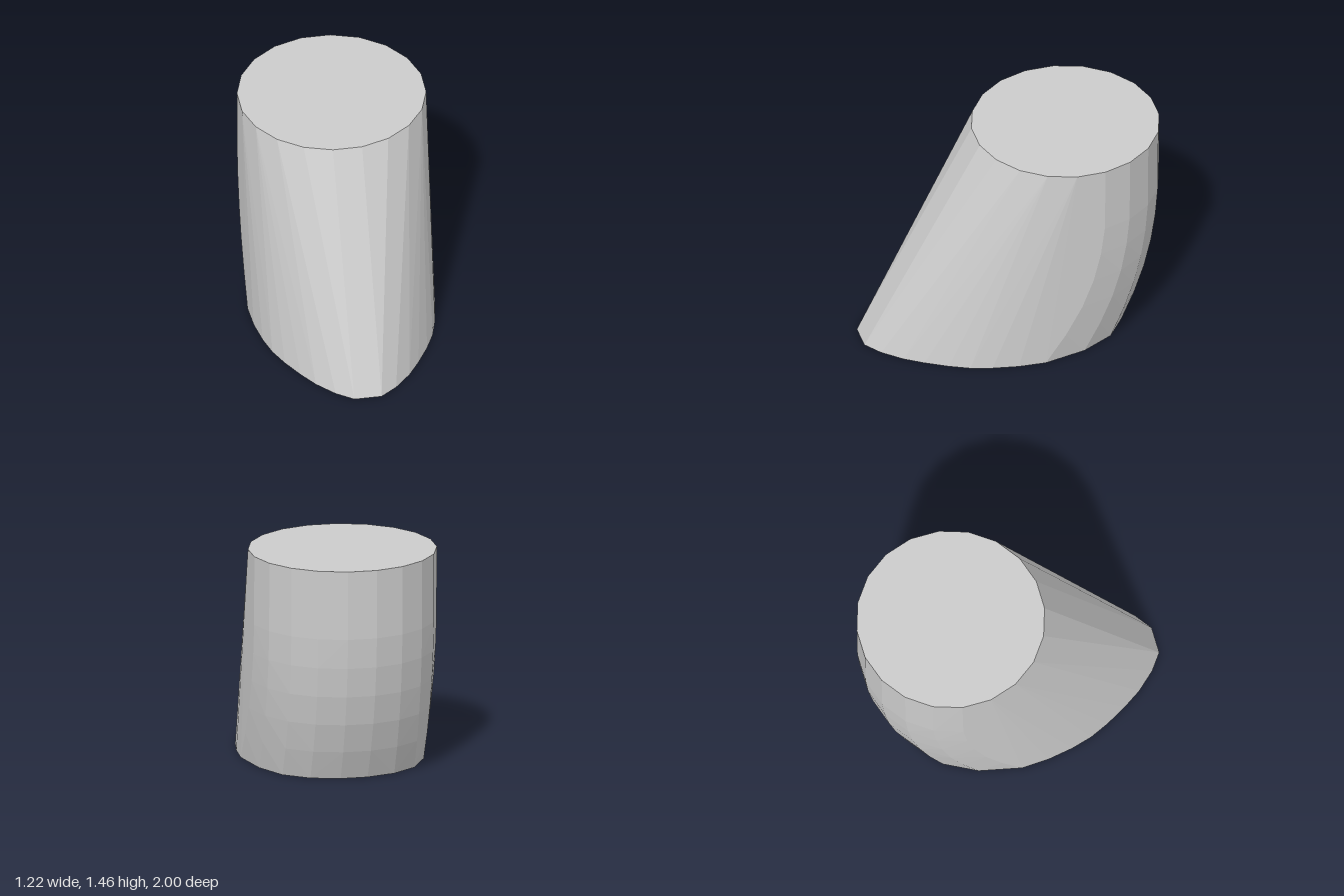
import * as THREE from 'three';
import { ConvexGeometry } from 'three/addons/geometries/ConvexGeometry.js';

// Half outline [x, z] of the base, in the two portions that make up the egg shape
const BASE_FRONT = [[0.09, 1], [0.2, 0.92], [0.31, 0.8], [0.39, 0.68], [0.47, 0.54], [0.53, 0.41], [0.57, 0.27], [0.6, 0.1]];
const BASE_BACK = [[0.09, -0.745], [0.28, -0.69], [0.44, -0.57], [0.55, -0.36], [0.61, -0.08]];

// Rear profile: [height, share of the way from base outline to top circle]
const REAR_PROFILE = [[0, 0], [0.2, 0.34], [0.4, 0.61], [0.6, 0.8], [0.8, 0.92], [1, 0.985]];

const HEIGHT = 1.46, RADIUS = 0.617, TOP_Z = -0.39, SIDES = 20;

export function createModel() {
  const group = new THREE.Group();
  const points = [];
  const addPair = (x, y, z) => points.push(new THREE.Vector3(x, y, z), new THREE.Vector3(-x, y, z));

  // Round top, one half mirrored; index 0 is at the back
  const top = [];
  for (let i = 0; i < SIDES / 2; i++) {
    const a = ((i + 0.5) / SIDES) * Math.PI * 2;
    top.push([RADIUS * Math.sin(a), TOP_Z - RADIUS * Math.cos(a)]);
  }
  for (const [x, z] of top) addPair(x, HEIGHT, z);

  // Pointed front of the base
  for (const [x, z] of BASE_FRONT) addPair(x, 0, z);

  // Curved rear, swelling from the base to the top circle
  for (const [y, t] of REAR_PROFILE) {
    BASE_BACK.forEach(([x, z], i) => {
      addPair(THREE.MathUtils.lerp(x, top[i][0], t), y, THREE.MathUtils.lerp(z, top[i][1], t));
    });
  }

  const body = new THREE.Mesh(
    new ConvexGeometry(points),
    new THREE.MeshStandardMaterial({ color: 0xcccccc, flatShading: true })
  );
  body.name = 'slantedBody';
  group.add(body);
  return group;
}
